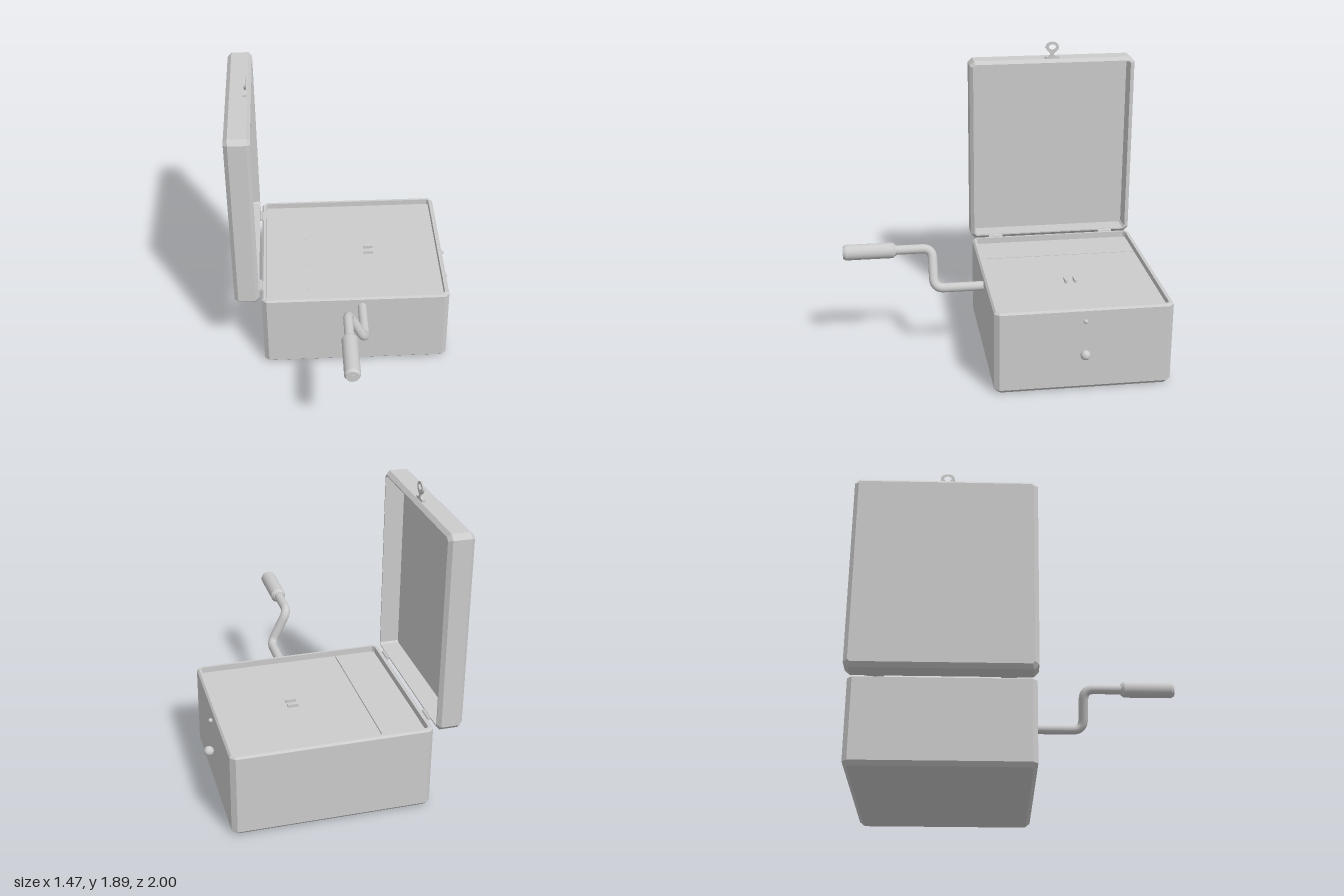
import * as THREE from 'three';

const grey = new THREE.MeshStandardMaterial({ color: 0xcccccc });
const flat = new THREE.MeshStandardMaterial({ color: 0xcccccc, flatShading: true });
const MID = -0.44; // z of the case's centre line

function add(parent, name, geometry, x = 0, y = 0, z = 0, material = grey) {
  const mesh = new THREE.Mesh(geometry, material);
  mesh.name = name;
  mesh.position.set(x, y, z);
  parent.add(mesh);
  return mesh;
}

// Open tray with bevelled edges: eight-sided rings skinned from the underside,
// up the outside, over the rim and down to the inner floor.
function trayGeometry(w, d, h, bottomBevel, topBevel, wall, depth) {
  const corner = 0.03;
  const ring = ([inset, y]) => {
    const a = w / 2 - inset, b = d / 2 - inset;
    const c = Math.max(corner - inset * 0.586, 0.006);
    return [[a, b - c], [a, c - b], [a - c, -b], [c - a, -b],
      [-a, c - b], [-a, b - c], [c - a, b], [a - c, b]].map(([x, z]) => [x, y, z]);
  };
  const rings = [
    [bottomBevel, 0], [0, bottomBevel], [0, h - topBevel],
    [topBevel, h], [wall, h], [wall, h - depth],
  ].map(ring);
  const pos = [];
  const tri = (...corners) => corners.forEach((p) => pos.push(...p));
  for (let i = 0; i < 8; i++) {
    const j = (i + 1) % 8;
    for (let k = 0; k < rings.length - 1; k++) {
      const lo = rings[k], hi = rings[k + 1];
      tri(lo[i], lo[j], hi[j]);
      tri(lo[i], hi[j], hi[i]);
    }
    const last = rings[rings.length - 1];
    tri([0, 0, 0], rings[0][j], rings[0][i]);
    tri([0, h - depth, 0], last[i], last[j]);
  }
  const geometry = new THREE.BufferGeometry();
  geometry.setAttribute('position', new THREE.Float32BufferAttribute(pos, 3));
  geometry.computeVertexNormals();
  return geometry;
}

function addCase(model) {
  const box = new THREE.Group();
  box.name = 'case';
  model.add(box);
  add(box, 'caseBody', trayGeometry(1.23, 1.105, 0.545, 0.026, 0.012, 0.028, 0.05), 0.055, 0, MID, flat);
  // Deck in two boards with a narrow seam between them
  add(box, 'narrowDeckBoard', new THREE.BoxGeometry(0.266, 0.01, 1.05), -0.396, 0.501, MID);
  add(box, 'wideDeckBoard', new THREE.BoxGeometry(0.896, 0.01, 1.05), 0.191, 0.501, MID);
  for (const s of [-1, 1]) {
    add(box, 'deckTab', new THREE.BoxGeometry(0.065, 0.022, 0.014), 0.17, 0.515, MID + s * 0.03);
  }
  // Knobs on the side
  add(box, 'sideKnob', new THREE.SphereGeometry(0.031, 24, 16), 0.7, 0.252, MID);
  const stem = add(box, 'knobStem', new THREE.CylinderGeometry(0.012, 0.012, 0.04, 16), 0.68, 0.252, MID);
  stem.rotation.z = Math.PI / 2;
  add(box, 'sideButton', new THREE.SphereGeometry(0.014, 16, 12), 0.682, 0.47, MID);
}

function addLid(model) {
  const lid = new THREE.Group();
  lid.name = 'lid';
  model.add(lid);
  // Tray standing on edge, its opening facing the case
  const shell = add(lid, 'lidShell', trayGeometry(1.255, 1.115, 0.16, 0.026, 0.022, 0.03, 0.125), -0.735, 1.1525, -0.4425, flat);
  shell.rotation.z = -Math.PI / 2;

  for (const s of [-1, 1]) {
    const z = MID + s * 0.385;
    const pin = add(lid, 'hingePin', new THREE.CylinderGeometry(0.011, 0.011, 0.095, 12), -0.567, 0.545, z);
    pin.rotation.x = Math.PI / 2;
    add(lid, 'hingeLeaf', new THREE.BoxGeometry(0.04, 0.006, 0.095), -0.567, 0.541, z);
  }

  // Latch: foot plate and an upright loop
  add(lid, 'latchPlate', new THREE.BoxGeometry(0.024, 0.016, 0.094), -0.613, 1.786, MID);
  const outline = new THREE.Shape();
  outline.moveTo(-0.024, 0);
  outline.quadraticCurveTo(-0.01, 0.012, -0.012, 0.022);
  outline.quadraticCurveTo(-0.044, 0.045, -0.044, 0.064);
  outline.bezierCurveTo(-0.042, 0.112, 0.042, 0.112, 0.044, 0.064);
  outline.quadraticCurveTo(0.044, 0.045, 0.012, 0.022);
  outline.quadraticCurveTo(0.01, 0.012, 0.024, 0);
  const hole = new THREE.Path();
  hole.absellipse(0, 0.066, 0.023, 0.017, 0, Math.PI * 2, true);
  outline.holes.push(hole);
  const loop = add(lid, 'latchLoop', new THREE.ExtrudeGeometry(outline, { depth: 0.012, bevelEnabled: false, curveSegments: 12 }), -0.615, 1.793, MID);
  loop.rotation.y = Math.PI / 2;
}

function addCrank(model) {
  const crank = new THREE.Group();
  crank.name = 'crank';
  model.add(crank);
  // Rod with two rounded elbows
  const V = (x, y, z) => new THREE.Vector3(x, y, z);
  const points = [V(0.095, 0.475, 0.08), V(0.095, 0.475, 0.428), V(-0.018, 0.705, 0.428), V(-0.018, 0.705, 0.7)];
  const path = new THREE.CurvePath();
  let start = points[0];
  for (let i = 1; i < 3; i++) {
    const p = points[i];
    const before = p.clone().add(points[i - 1].clone().sub(p).setLength(0.065));
    const after = p.clone().add(points[i + 1].clone().sub(p).setLength(0.065));
    path.add(new THREE.LineCurve3(start, before));
    path.add(new THREE.QuadraticBezierCurve3(before, p, after));
    start = after;
  }
  path.add(new THREE.LineCurve3(start, points[3]));
  add(crank, 'crankRod', new THREE.TubeGeometry(path, 90, 0.03, 20));

  // Bevelled grip; doubled profile points keep its edges sharp
  const profile = [[0, 0], [0.034, 0], [0.034, 0], [0.05, 0.02], [0.05, 0.02], [0.05, 0.318],
    [0.05, 0.318], [0.04, 0.336], [0.04, 0.336], [0, 0.336]].map(([r, y]) => new THREE.Vector2(r, y));
  const grip = add(crank, 'crankGrip', new THREE.LatheGeometry(profile, 28), -0.018, 0.705, 0.66);
  grip.rotation.x = Math.PI / 2;
  const cap = add(crank, 'gripCap', new THREE.CylinderGeometry(0.018, 0.018, 0.008, 16), -0.018, 0.705, 0.996);
  cap.rotation.x = Math.PI / 2;
}

export function createModel() {
  const model = new THREE.Group();
  model.name = 'crankCase';
  addCase(model);
  addLid(model);
  addCrank(model);
  return model;
}
